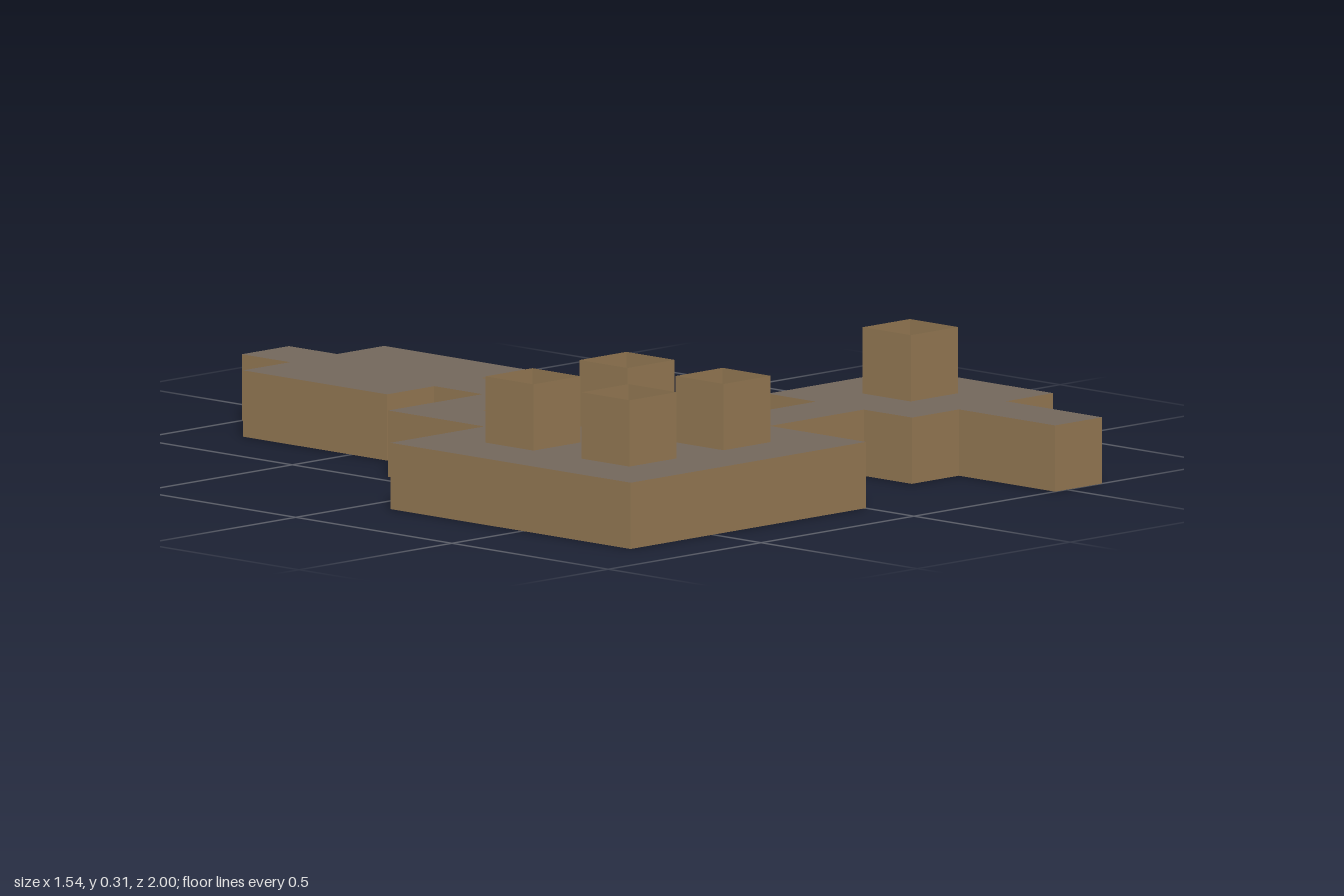
import * as THREE from 'three';

const CELL = 2 / 13; // size of one map cell, also the wall height

// Plan outline in cells (x, z)
const OUTLINE = [
  [-1, -6.5], [-1, -5.5], [-2, -5.5], [-2, -2.5], [-1, -2.5], [-1, -1.5], [-3, -1.5],
  [-3, 0.5], [-5, 0.5], [-5, 5.5], [0, 5.5], [0, 3.5], [2, 3.5], [2, 4.5], [3, 4.5],
  [3, 6.5], [4, 6.5], [4, 4.5], [5, 4.5], [5, 1.5], [2, 1.5], [2, 2.5], [0, 2.5],
  [0, 0.5], [-2, 0.5], [-2, -0.5], [0, -0.5], [0, -2.5], [1, -2.5], [1, -5.5],
  [0, -5.5], [0, -6.5],
];

// Low corners of the open square shafts
const SHAFTS = [[-4, 1.5], [-2, 1.5], [-4, 3.5], [-2, 3.5], [3, 2.5]];

const square = ([x, z]) => [[x, z], [x, z + 1], [x + 1, z + 1], [x + 1, z]];
const toPoints = (loop) => loop.map(([x, z]) => new THREE.Vector2(x * CELL, -z * CELL));

// Thin vertical walls along a closed, counter-clockwise loop
function wallGeometry(loop, y0, y1) {
  const pos = [];
  loop.forEach(([ax, az], i) => {
    const [bx, bz] = loop[(i + 1) % loop.length];
    const corner = (x, y, z) => [x * CELL, y * CELL, z * CELL];
    const a = corner(ax, y0, az), b = corner(bx, y0, bz);
    const c = corner(bx, y1, bz), d = corner(ax, y1, az);
    pos.push(...a, ...b, ...c, ...a, ...c, ...d);
  });
  const g = new THREE.BufferGeometry();
  g.setAttribute('position', new THREE.Float32BufferAttribute(pos, 3));
  g.computeVertexNormals();
  return g;
}

// Flat plate in the shape of the plan
function plateGeometry(y, holes = []) {
  const shape = new THREE.Shape(toPoints(OUTLINE));
  holes.forEach((h) => shape.holes.push(new THREE.Path(toPoints(square(h)))));
  return new THREE.ShapeGeometry(shape).rotateX(-Math.PI / 2).translate(0, y * CELL, 0);
}

export function createModel() {
  const group = new THREE.Group();
  group.name = 'dungeonMap';
  const brown = new THREE.MeshStandardMaterial({ color: 0x967a54, side: THREE.DoubleSide });
  brown.name = 'brown stone';
  const grey = new THREE.MeshStandardMaterial({ color: 0x74685c, side: THREE.DoubleSide });
  grey.name = 'grey stone';

  const add = (name, geometry, material) => {
    const mesh = new THREE.Mesh(geometry, material);
    mesh.name = name;
    group.add(mesh);
  };

  // Rooms and corridors
  add('floor', plateGeometry(0), brown);
  add('outerWalls', wallGeometry(OUTLINE, 0, 1), brown);
  add('roof', plateGeometry(1, SHAFTS), grey);

  // Open shafts rising above the roof
  SHAFTS.forEach((s, i) => add(`shaft${i + 1}`, wallGeometry(square(s), 1, 2), brown));

  return group;
}
